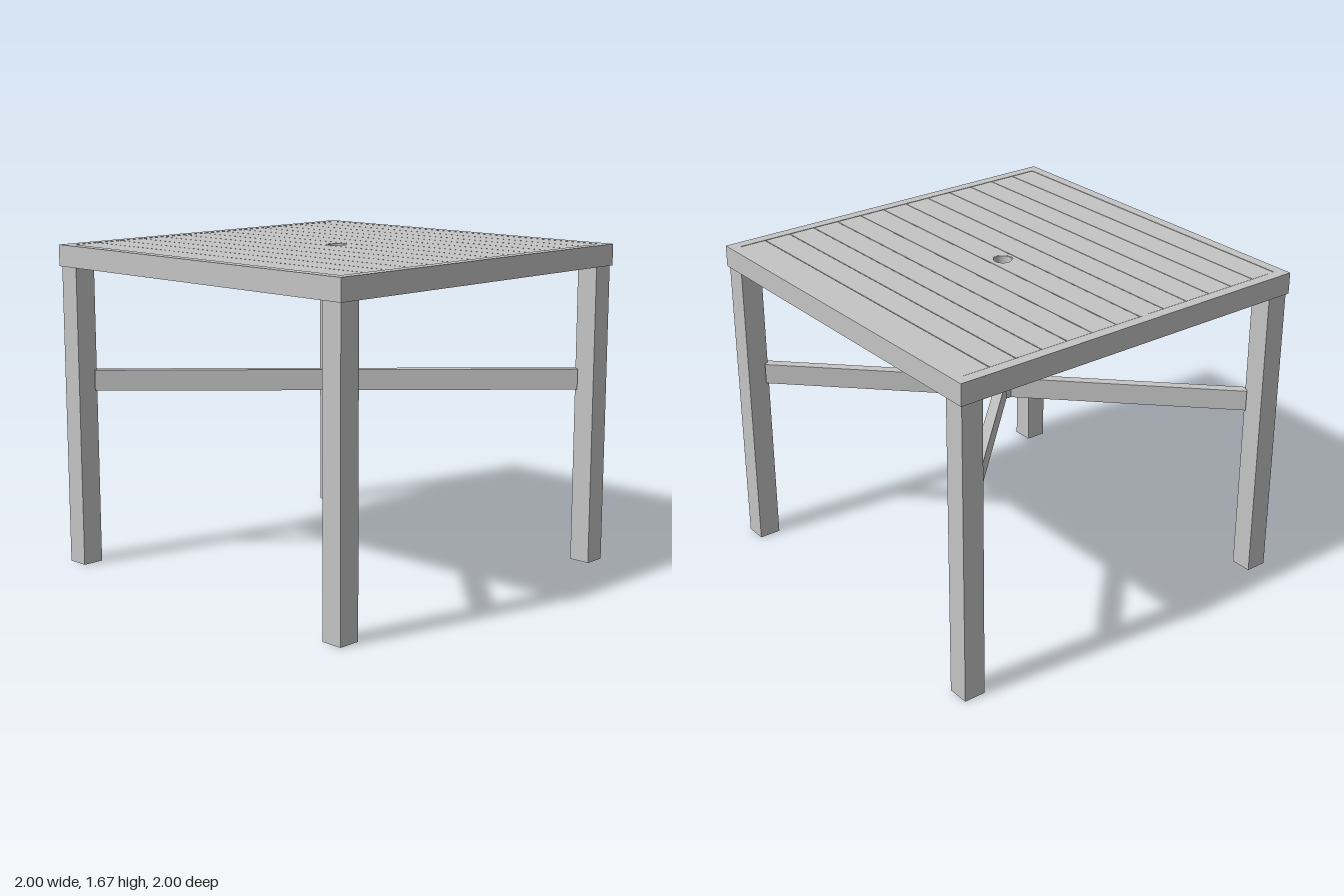
import * as THREE from 'three';

export function createModel() {
  const table = new THREE.Group();
  table.name = 'patioTable';
  const grey = new THREE.MeshStandardMaterial({ color: 0xc4c4c4 });
  grey.name = 'greyMetal';

  const add = (name, geometry, x = 0, y = 0, z = 0, parent = table) => {
    const mesh = new THREE.Mesh(geometry, grey);
    mesh.name = name;
    mesh.position.set(x, y, z);
    parent.add(mesh);
    return mesh;
  };
  const box = (name, w, h, d, x, y, z, parent) =>
    add(name, new THREE.BoxGeometry(w, h, d), x, y, z, parent);

  // Rectangle outline centred on (0, cy), used for tops and hollow sections
  const rect = (w, h, cy = 0) => new THREE.Shape([
    new THREE.Vector2(-w / 2, cy - h / 2), new THREE.Vector2(w / 2, cy - h / 2),
    new THREE.Vector2(w / 2, cy + h / 2), new THREE.Vector2(-w / 2, cy + h / 2),
  ]);
  // Extrudes a shape upwards from y = 0, optionally with a hole
  const rise = (shape, height, hole) => {
    if (hole) shape.holes.push(hole);
    const g = new THREE.ExtrudeGeometry(shape, { depth: height, bevelEnabled: false, curveSegments: 24 });
    return g.rotateX(-Math.PI / 2);
  };
  const circle = (r) => new THREE.Path().absarc(0, 0, r, 0, Math.PI * 2, true);
  // Open tube standing on y = 0
  const tube = (outer, inner, h) => new THREE.LatheGeometry(
    [[inner, 0], [outer, 0], [outer, 0], [outer, h], [outer, h], [inner, h], [inner, h], [inner, 0]]
      .map(([r, y]) => new THREE.Vector2(r, y)), 32);

  // Table top frame
  add('topFrame', rise(rect(2, 2), 0.11, rect(1.89, 1.89)), 0, 1.56, 0);

  // Thirteen slats, the middle one pierced for the parasol
  const slats = new THREE.Group();
  slats.name = 'slats';
  table.add(slats);
  const pitch = 0.1455, slatWidth = 0.141;
  for (let i = 0; i < 13; i++) {
    const z = -0.946 + pitch * i + slatWidth / 2;
    if (i === 6) add('piercedSlat', rise(rect(1.884, slatWidth, -z), 0.03, circle(0.052)), 0, 1.639, 0, slats);
    else box('slat', 1.884, 0.03, slatWidth, 0, 1.654, z, slats);
  }

  // Rails under the slats
  for (const s of [-1, 1]) {
    box('supportRail', 0.05, 0.035, 1.89, s * 0.285, 1.622, 0);
    box('endRail', 0.04, 0.035, 1.89, s * 0.89, 1.622, 0);
    box('hubBar', 0.22, 0.03, 0.03, s * 0.155, 1.622, 0);
  }

  // Parasol sleeve and the lower ring where the braces meet
  add('parasolSleeve', tube(0.052, 0.046, 0.148), 0, 1.52, 0);
  add('braceRing', tube(0.05, 0.044, 0.108), 0, 0.917, 0);

  // Hollow square legs and diagonal braces
  for (const sx of [-1, 1]) for (const sz of [-1, 1]) {
    add('leg', rise(rect(0.114, 0.114), 1.56, rect(0.098, 0.098)), sx * 0.933, 0, sz * 0.933);
    const brace = box('brace', 1.2, 0.108, 0.05, sx * 0.457, 0.971, sz * 0.457);
    brace.rotation.y = -sx * sz * Math.PI / 4;
  }
  return table;
}
